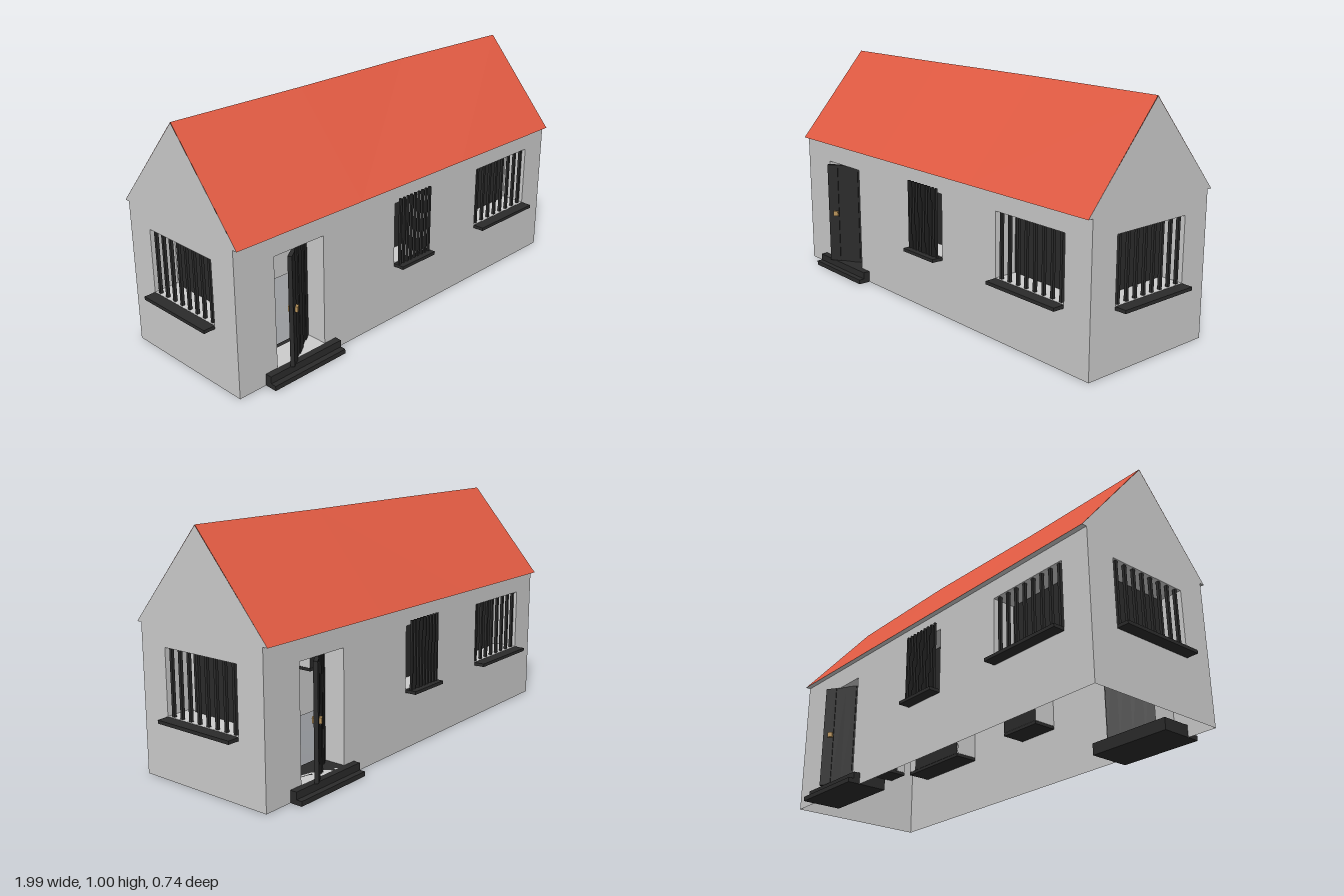
import * as THREE from 'three';

const mat = (color) => new THREE.MeshStandardMaterial({ color, side: THREE.DoubleSide, flatShading: true });
const wallMat = mat(0xcccccc), darkMat = mat(0x2b2b2b), roofMat = mat(0xe25b43), brassMat = mat(0xb8935a);
const DEPTH = 0.11;               // depth of the window and door recesses
const HX = 0.947, HZ = 0.317, EAVE = 0.61, OVER = 0.34, RIDGE = 1.005;

function add(parent, name, geometry, material, x = 0, y = 0, z = 0) {
  const m = new THREE.Mesh(geometry, material);
  m.name = name;
  m.position.set(x, y, z);
  parent.add(m);
  return m;
}

// box given by its two extreme corners
function block(parent, name, material, x0, x1, y0, y1, z0, z1) {
  return add(parent, name, new THREE.BoxGeometry(x1 - x0, y1 - y0, z1 - z0), material,
    (x0 + x1) / 2, (y0 + y1) / 2, (z0 + z1) / 2);
}

// thin wall in the local xy plane, pierced by rectangular openings [x0, x1, y0, y1]
function wall(parent, name, outline, openings) {
  const shape = new THREE.Shape(outline.map(([x, y]) => new THREE.Vector2(x, y)));
  for (const [x0, x1, y0, y1] of openings) {
    shape.holes.push(new THREE.Path([[x0, y0], [x0, y1], [x1, y1], [x1, y0]].map(([x, y]) => new THREE.Vector2(x, y))));
    reveal(parent, x0, x1, y0, y1);
  }
  add(parent, name, new THREE.ShapeGeometry(shape), wallMat);
}

// four inner faces around an opening
function reveal(parent, x0, x1, y0, y1) {
  for (const x of [x0, x1]) {
    add(parent, 'revealSide', new THREE.PlaneGeometry(DEPTH, y1 - y0), wallMat, x, (y0 + y1) / 2, -DEPTH / 2)
      .rotation.y = x === x0 ? Math.PI / 2 : -Math.PI / 2;
  }
  for (const y of [y0, y1]) {
    add(parent, 'revealFlat', new THREE.PlaneGeometry(x1 - x0, DEPTH), wallMat, (x0 + x1) / 2, y, -DEPTH / 2)
      .rotation.x = y === y0 ? -Math.PI / 2 : Math.PI / 2;
  }
}

// sill, recessed dark pane and a row of upright bars
function barredWindow(parent, [x0, x1, y0, y1], { bars, barZ, barTop, thick, gapSide = 0 }) {
  const g = new THREE.Group();
  g.name = 'barredWindow';
  block(g, 'sill', darkMat, x0, x1, 0.245, y0 - 0.001, -DEPTH, 0.05);
  const gap = 0.042;
  const p0 = gapSide < 0 ? x0 + gap : x0, p1 = gapSide > 0 ? x1 - gap : x1;
  block(g, 'pane', darkMat, p0, p1, y0, y1, -DEPTH, -DEPTH + 0.008);
  if (gapSide) {
    const c = gapSide < 0 ? x0 + gap / 2 : x1 - gap / 2;
    add(g, 'recessBack', new THREE.PlaneGeometry(gap, y1 - y0), wallMat, c, (y0 + y1) / 2, -DEPTH);
  }
  for (let i = 0; i < bars; i++) {
    const x = x0 + (x1 - x0) * (i + 0.5) / bars;
    block(g, 'bar', darkMat, x - thick / 2, x + thick / 2, y0 - 0.002, barTop, barZ - thick / 2, barZ + thick / 2);
  }
  parent.add(g);
}

// plank door standing ajar on its hinge
function door(parent, [x0, x1, y0, y1]) {
  const g = new THREE.Group();
  g.name = 'door';
  g.position.set(x1, 0, -DEPTH + 0.005);
  g.rotation.y = 0.6;
  const n = 5, w = (x1 - x0) / n;
  for (let i = 0; i < n; i++) {
    block(g, 'plank', darkMat, -(i + 1) * w, -i * w, y0, y1 - 0.002, -0.008, i % 2 ? 0.005 : 0.009);
  }
  block(g, 'knob', brassMat, -0.224, -0.202, 0.274, 0.296, -0.018, 0.02);
  parent.add(g);
}

// long wall with door, small window and wide window
function longSide() {
  const g = new THREE.Group();
  g.name = 'longSide';
  const doorway = [-0.76, -0.51, 0.05, 0.52], small = [-0.103, 0.103, 0.26, 0.53], wide = [0.44, 0.815, 0.26, 0.53];
  wall(g, 'longWall', [[-HX, 0], [HX, 0], [HX, EAVE], [-HX, EAVE]], [doorway, small, wide]);
  door(g, doorway);
  block(g, 'lowerStep', darkMat, -0.82, -0.45, 0, 0.02, -0.13, 0.055);
  block(g, 'upperStep', darkMat, -0.82, -0.45, 0.02, 0.05, -0.13, 0.03);
  barredWindow(g, small, { bars: 9, barZ: 0.021, barTop: 0.555, thick: 0.01 });
  barredWindow(g, wide, { bars: 8, barZ: -0.012, barTop: 0.53, thick: 0.012, gapSide: 1 });
  // underside of the eave
  add(g, 'eaveSoffit', new THREE.PlaneGeometry(2 * HX, OVER - HZ), wallMat, 0, EAVE, (OVER - HZ) / 2)
    .rotation.x = Math.PI / 2;
  g.position.z = HZ;
  return g;
}

// gable wall with one barred window
function gableEnd() {
  const g = new THREE.Group();
  g.name = 'gableEnd';
  const win = [-0.188, 0.188, 0.26, 0.53];
  wall(g, 'gableWall', [[-HZ, 0], [HZ, 0], [HZ, EAVE], [OVER, EAVE], [0, RIDGE - 0.002], [-OVER, EAVE], [-HZ, EAVE]], [win]);
  barredWindow(g, win, { bars: 8, barZ: -0.012, barTop: 0.53, thick: 0.012, gapSide: -1 });
  g.rotation.y = Math.PI / 2;
  g.position.x = HX;
  return g;
}

// two roof slopes meeting at a slightly bowed ridge
function roof() {
  const g = new THREE.Group();
  g.name = 'roof';
  const ridge = [[-HX, 0], [-0.32, 0], [0.3, -0.012], [HX, 0]];
  for (const s of [1, -1]) {
    const pos = [], idx = [];
    ridge.forEach(([x, z], i) => {
      pos.push(x, EAVE, s * OVER, x, RIDGE, z);
      if (i) {
        const a = 2 * i - 2;
        if (s > 0) idx.push(a, a + 2, a + 3, a, a + 3, a + 1);
        else idx.push(a, a + 3, a + 2, a, a + 1, a + 3);
      }
    });
    const geo = new THREE.BufferGeometry();
    geo.setAttribute('position', new THREE.Float32BufferAttribute(pos, 3));
    geo.setIndex(idx);
    geo.computeVertexNormals();
    add(g, s > 0 ? 'frontSlope' : 'backSlope', geo, roofMat);
  }
  return g;
}

export function createModel() {
  const house = new THREE.Group();
  house.name = 'house';
  // the back half repeats the front half, turned half a circle
  for (const turn of [0, Math.PI]) {
    const half = new THREE.Group();
    half.name = turn ? 'backHalf' : 'frontHalf';
    half.add(longSide(), gableEnd());
    half.rotation.y = turn;
    house.add(half);
  }
  house.add(roof());
  return house;
}
